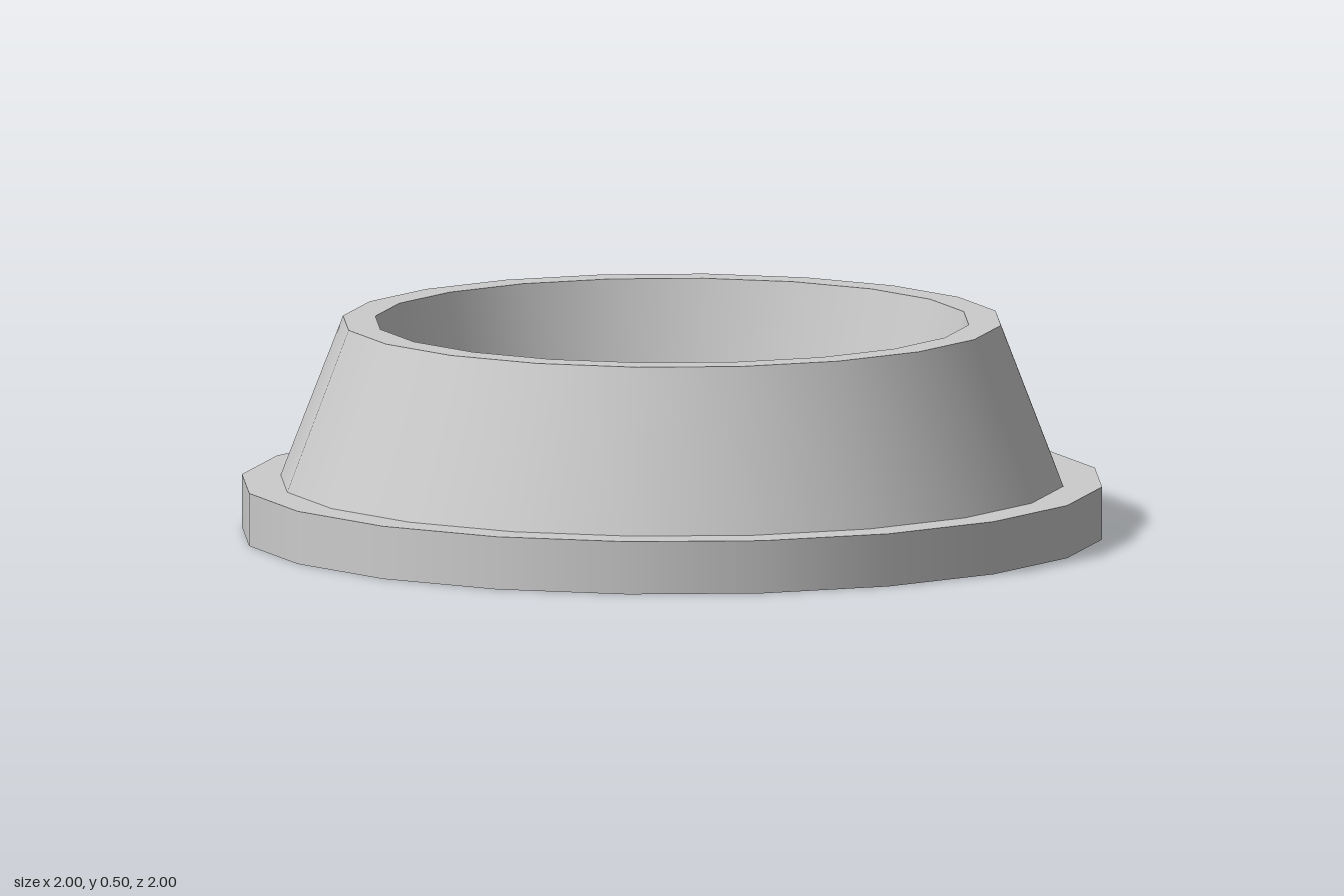
import * as THREE from 'three';
import { mergeGeometries } from 'three/addons/utils/BufferGeometryUtils.js';

const SIDES = 20;

// Revolve each profile segment on its own: smooth around, sharp between bands
function turned(name, profile, material) {
  const pts = profile.map(([r, y]) => new THREE.Vector2(r, y));
  const bands = pts.slice(1).map((p, i) => new THREE.LatheGeometry([pts[i], p], SIDES));
  const mesh = new THREE.Mesh(mergeGeometries(bands), material);
  mesh.name = name;
  return mesh;
}

export function createModel() {
  const group = new THREE.Group();
  group.name = 'bowl';
  const material = new THREE.MeshStandardMaterial({ color: 0xcccccc });

  // Flat base with a stepped foot flange
  group.add(turned('baseFlange', [[0, 0], [1, 0], [1, 0.123], [0.91, 0.123]], material));

  // Sloped outer wall, flat rim and tapered inner wall
  group.add(turned('wall', [[0.91, 0.123], [0.765, 0.497], [0.69, 0.497], [0.593, 0.097]], material));

  // Floor inside the bowl
  group.add(turned('floor', [[0.593, 0.097], [0, 0.097]], material));

  return group;
}
